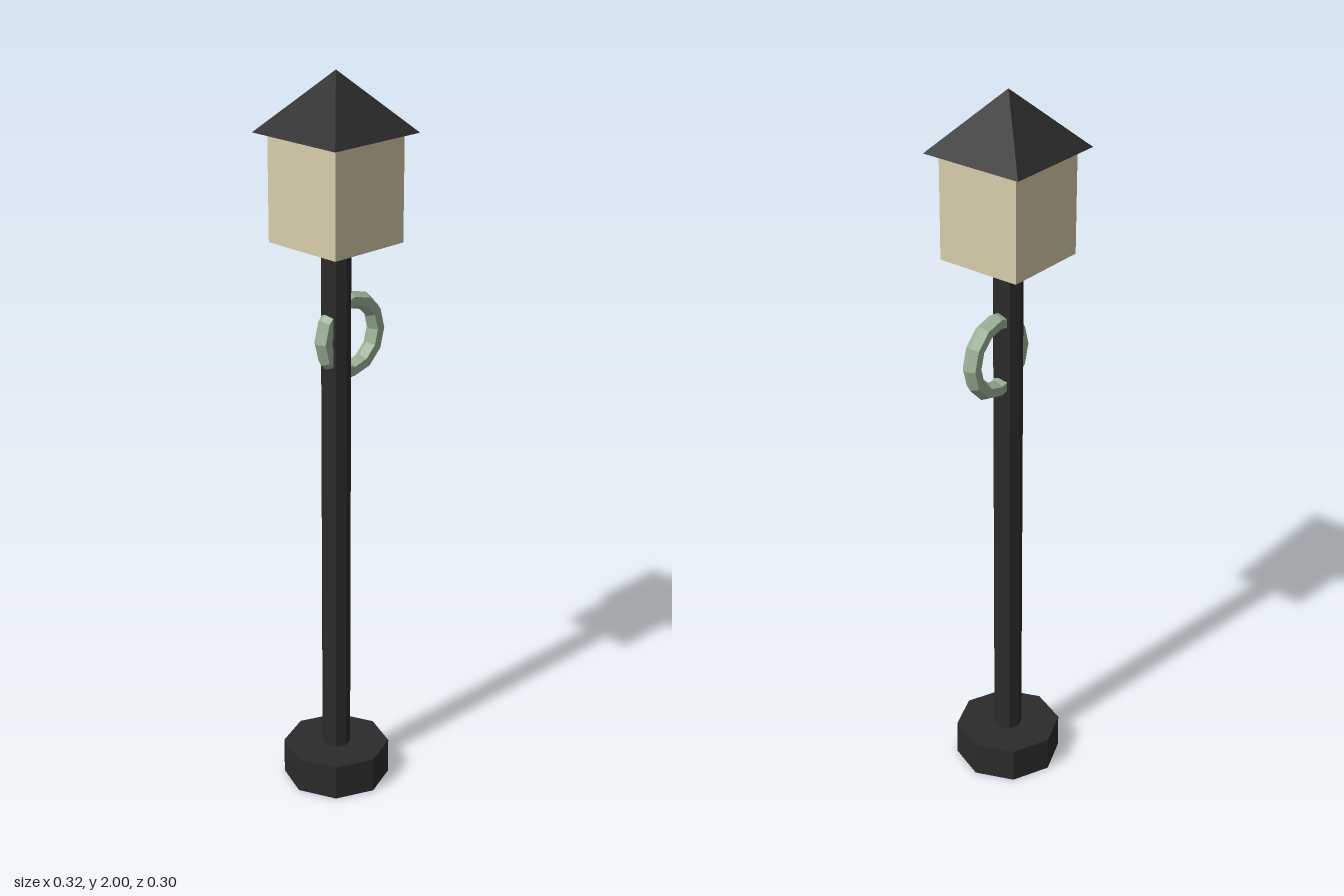
import * as THREE from 'three';

const flat = (name, color) => {
  const m = new THREE.MeshStandardMaterial({ color, flatShading: true });
  m.name = name;
  return m;
};

export function createModel() {
  const iron = flat('dark iron', 0x2b2b2b);
  const glow = flat('warm cream', 0xd8ccaa);
  const sage = flat('sage green', 0x9db398);

  const group = new THREE.Group();
  group.name = 'lampPost';
  const axis = -0.012; // post axis, offset because the ring sticks out to one side

  const add = (name, geometry, material, x, y) => {
    const mesh = new THREE.Mesh(geometry, material);
    mesh.name = name;
    mesh.position.set(x, y, 0);
    group.add(mesh);
    return mesh;
  };

  // octagonal foot and post
  add('base', new THREE.CylinderGeometry(0.147, 0.147, 0.1, 8), iron, axis, 0.05);
  add('post', new THREE.CylinderGeometry(0.039, 0.039, 1.47, 8), iron, axis, 0.83);

  // lantern box with a pyramid roof
  add('lantern', new THREE.BoxGeometry(0.242, 0.284, 0.242), glow, axis, 1.702);
  const roof = new THREE.ConeGeometry(0.148 * Math.SQRT2, 0.157, 4);
  roof.rotateY(Math.PI / 4);
  add('roof', roof, iron, axis, 1.9215);

  // ring hanging through the post
  add('ring', new THREE.TorusGeometry(0.096, 0.024, 6, 12), sage, 0.038, 1.3);

  return group;
}
